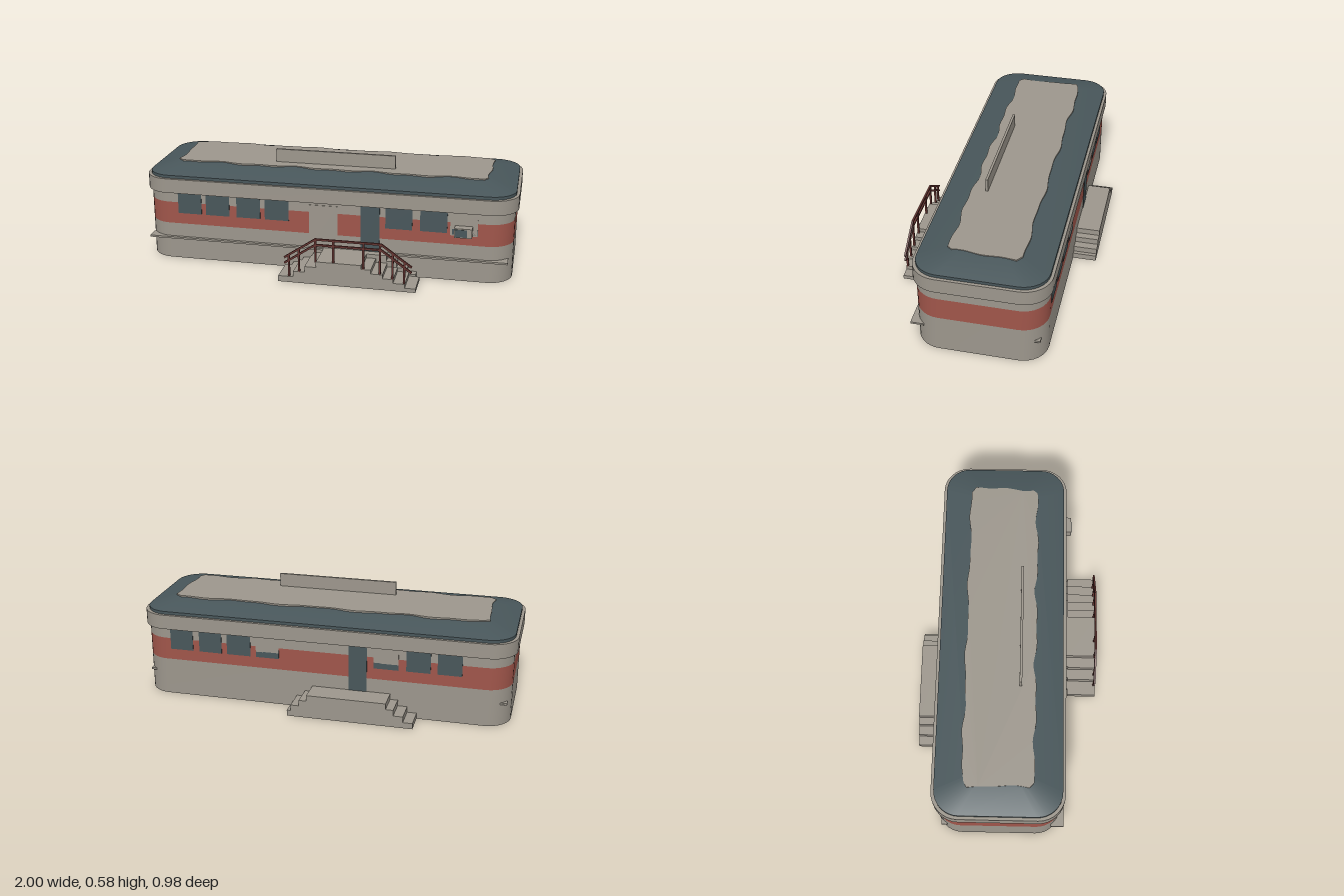
import * as THREE from 'three';
import { toCreasedNormals } from 'three/addons/utils/BufferGeometryUtils.js';

const mat = (name, color, side = THREE.FrontSide) => {
  const m = new THREE.MeshStandardMaterial({ color, side });
  m.name = name;
  return m;
};

export function createModel() {
  const grey = mat('warm grey', 0x9c968c);
  const greyOpen = mat('warm grey skirt', 0x9c968c, THREE.DoubleSide);
  const red = mat('brick red', 0x9f554a);
  const slate = mat('dark slate', 0x48565a);
  const rust = mat('dark rust', 0x643430);

  const model = new THREE.Group();
  model.name = 'diner';
  const add = (name, geometry, material, parent = model) => {
    const mesh = new THREE.Mesh(geometry, material);
    mesh.name = name;
    parent.add(mesh);
    return mesh;
  };
  // box given by its limits
  const box = (name, material, x0, x1, y0, y1, z0, z1, parent) => {
    const mesh = add(name, new THREE.BoxGeometry(x1 - x0, y1 - y0, z1 - z0), material, parent);
    mesh.position.set((x0 + x1) / 2, (y0 + y1) / 2, (z0 + z1) / 2);
    return mesh;
  };

  // rounded rectangles [y, halfX, halfZ, radius] stacked into a shell
  const CZ = -0.0375, SEG = 8;
  const loft = (rings, top = false, bottom = false) => {
    const pos = [], idx = [], n = 4 * (SEG + 1);
    for (const [y, hx, hz, r] of rings) {
      for (let c = 0; c < 4; c++) {
        const sx = c === 0 || c === 3 ? 1 : -1, sz = c < 2 ? 1 : -1;
        for (let k = 0; k <= SEG; k++) {
          const a = (c + k / SEG) * Math.PI / 2;
          pos.push(sx * (hx - r) + r * Math.cos(a), y, CZ + sz * (hz - r) + r * Math.sin(a));
        }
      }
    }
    for (let j = 0; j < rings.length - 1; j++) {
      for (let i = 0; i < n; i++) {
        const a = j * n + i, b = j * n + (i + 1) % n;
        idx.push(a, a + n, b, b, a + n, b + n);
      }
    }
    const cap = (j, up) => {
      const c = pos.length / 3;
      pos.push(0, rings[j][0], CZ);
      for (let i = 0; i < n; i++) {
        const a = j * n + i, b = j * n + (i + 1) % n;
        idx.push(c, up ? b : a, up ? a : b);
      }
    };
    if (top) cap(rings.length - 1, true);
    if (bottom) cap(0, false);
    const g = new THREE.BufferGeometry();
    g.setAttribute('position', new THREE.Float32BufferAttribute(pos, 3));
    g.setIndex(idx);
    return toCreasedNormals(g, 0.3);
  };

  // walls: open skirt with a raised floor, red band, upper wall, cornice
  const wall = (y) => [y, 0.982, 0.328, 0.13];
  add('lowerWall', loft([wall(0), wall(0.2)]), greyOpen);
  add('floor', loft([[0.12, 0.978, 0.324, 0.13], [0.13, 0.978, 0.324, 0.13]], true, true), grey);
  add('redBand', loft([wall(0.2), wall(0.32)]), red);
  add('upperWall', loft([wall(0.32), wall(0.4)]), grey);
  add('cornice', loft([[0.375, 0.998, 0.343, 0.14], [0.453, 0.998, 0.343, 0.14]], true, true), grey);

  // sloping roof with a ragged pale patch on the flat
  add('roof', loft([[0.453, 0.982, 0.328, 0.13], [0.469, 0.982, 0.328, 0.13],
    [0.511, 0.84, 0.168, 0.05]], true), slate);
  const patch = new THREE.Shape();
  const ragged = (t) => 0.013 * Math.pow(Math.abs(Math.sin(t * 7.3)), 4) + 0.004 * Math.sin(t * 31);
  const corners = [[-0.845, -0.148], [0.845, -0.148], [0.845, 0.228], [-0.845, 0.228]];
  const outline = [];
  corners.forEach(([x0, y0], i) => {
    const [x1, y1] = corners[(i + 1) % 4];
    const len = Math.hypot(x1 - x0, y1 - y0), n = Math.round(len / 0.03);
    const dx = (x1 - x0) / len, dy = (y1 - y0) / len;
    for (let k = 1; k < n; k++) {
      const t = k / n * len, d = ragged(t + i);
      outline.push(new THREE.Vector2(x0 + dx * t - dy * d, y0 + dy * t + dx * d));
    }
  });
  patch.setFromPoints(outline);
  const patchMesh = add('roofPatch', new THREE.ExtrudeGeometry(patch, { depth: 0.009, bevelEnabled: false }), grey);
  patchMesh.rotation.x = -Math.PI / 2;
  patchMesh.position.y = 0.505;
  box('roofSign', grey, -0.31, 0.34, 0.505, 0.585, 0.06, 0.073);

  // straight ledges
  box('frontLedge', grey, -0.965, 0.96, 0.115, 0.125, 0.24, 0.308);
  box('backLedge', grey, -0.965, 0.96, 0.115, 0.125, -0.34, -0.31);

  // thin plates on the long walls
  const FRONT = 0.2905, BACK = -0.3655;
  const plate = (name, m, x0, x1, y0, y1, back) =>
    box(name, m, x0, x1, y0, y1, back ? BACK - 0.003 : FRONT - 0.003, back ? BACK + 0.003 : FRONT + 0.003);
  for (const [x0, x1] of [[-0.8, -0.67], [-0.645, -0.515], [-0.475, -0.345], [-0.32, -0.19],
    [0.325, 0.465], [0.505, 0.645]]) plate('frontWindow', slate, x0, x1, 0.26, 0.372);
  plate('frontDoor', slate, 0.195, 0.295, 0.125, 0.372);
  plate('paleDoor', grey, -0.08, 0.073, 0.125, 0.36);
  plate('boardedWindow', grey, 0.66, 0.8, 0.25, 0.372);
  for (const [x0, x1] of [[0.7, 0.826], [0.54, 0.665], [0.38, 0.51], [-0.575, -0.45], [-0.735, -0.61]])
    plate('backWindow', slate, x0, x1, 0.26, 0.372, true);
  for (const [x0, x1] of [[0.225, 0.35], [-0.41, -0.28]]) {
    plate('backBoard', grey, x0, x1, 0.29, 0.372, true);
    plate('backHalfWindow', slate, x0, x1, 0.26, 0.292, true);
  }
  plate('backDoor', slate, -0.245, -0.15, 0.125, 0.372, true);

  // air conditioner
  box('airConditioner', grey, 0.685, 0.775, 0.255, 0.305, 0.28, 0.338);
  box('airGrille', slate, 0.689, 0.75, 0.26, 0.3, 0.337, 0.341);
  plate('windowGap', slate, 0.67, 0.802, 0.255, 0.285);

  // stairs: left edges and right edges of the treads, lowest first
  const stairs = (name, lefts, rights, z0, z1) => {
    const p = [], H = 0.125;
    lefts.forEach((x, i) => p.push([x, H * i / lefts.length], [x, H * (i + 1) / lefts.length]));
    for (let i = rights.length - 1; i >= 0; i--)
      p.push([rights[i], H * (i + 1) / rights.length], [rights[i], H * i / rights.length]);
    const shape = new THREE.Shape(p.map(([x, y]) => new THREE.Vector2(x, y)));
    add(name, new THREE.ExtrudeGeometry(shape, { depth: z1 - z0, bevelEnabled: false }), grey).position.z = z0;
  };
  stairs('frontStairs', [-0.2, -0.12, -0.06, 0], [0.515, 0.46, 0.4, 0.345, 0.285, 0.235], 0.333, 0.488);
  stairs('frontInnerStairs', [-0.165, -0.11, -0.055, 0], [0.495, 0.45, 0.395, 0.34], 0.285, 0.333);
  stairs('backStairs', [-0.51, -0.46, -0.41, -0.37], [0.15, 0.13, 0.085, 0.045], -0.49, -0.36);

  // railing along the front of the stairs
  const railing = new THREE.Group();
  railing.name = 'railing';
  model.add(railing);
  const ZR = 0.48, T = 0.01;
  const path = [[-0.165, 0.135], [-0.005, 0.245], [0.335, 0.245], [0.49, 0.135]];
  for (const drop of [0, 0.03]) {
    for (let i = 0; i < 3; i++) {
      const [x0, y0] = path[i], [x1, y1] = path[i + 1];
      const bar = add('rail', new THREE.BoxGeometry(Math.hypot(x1 - x0, y1 - y0) + 0.005, T, T), rust, railing);
      bar.position.set((x0 + x1) / 2, (y0 + y1) / 2 - drop, ZR);
      bar.rotation.z = Math.atan2(y1 - y0, x1 - x0);
    }
  }
  for (const [x, y0, y1] of [[-0.143, 0.03, 0.148], [-0.09, 0.06, 0.185], [-0.003, 0.12, 0.248],
    [0.09, 0.12, 0.248], [0.245, 0.1, 0.248], [0.33, 0.08, 0.248], [0.395, 0.06, 0.2], [0.455, 0.03, 0.16]])
    box('railPost', rust, x - T / 2, x + T / 2, y0, y1, ZR - T / 2, ZR + T / 2, railing);

  return model;
}
